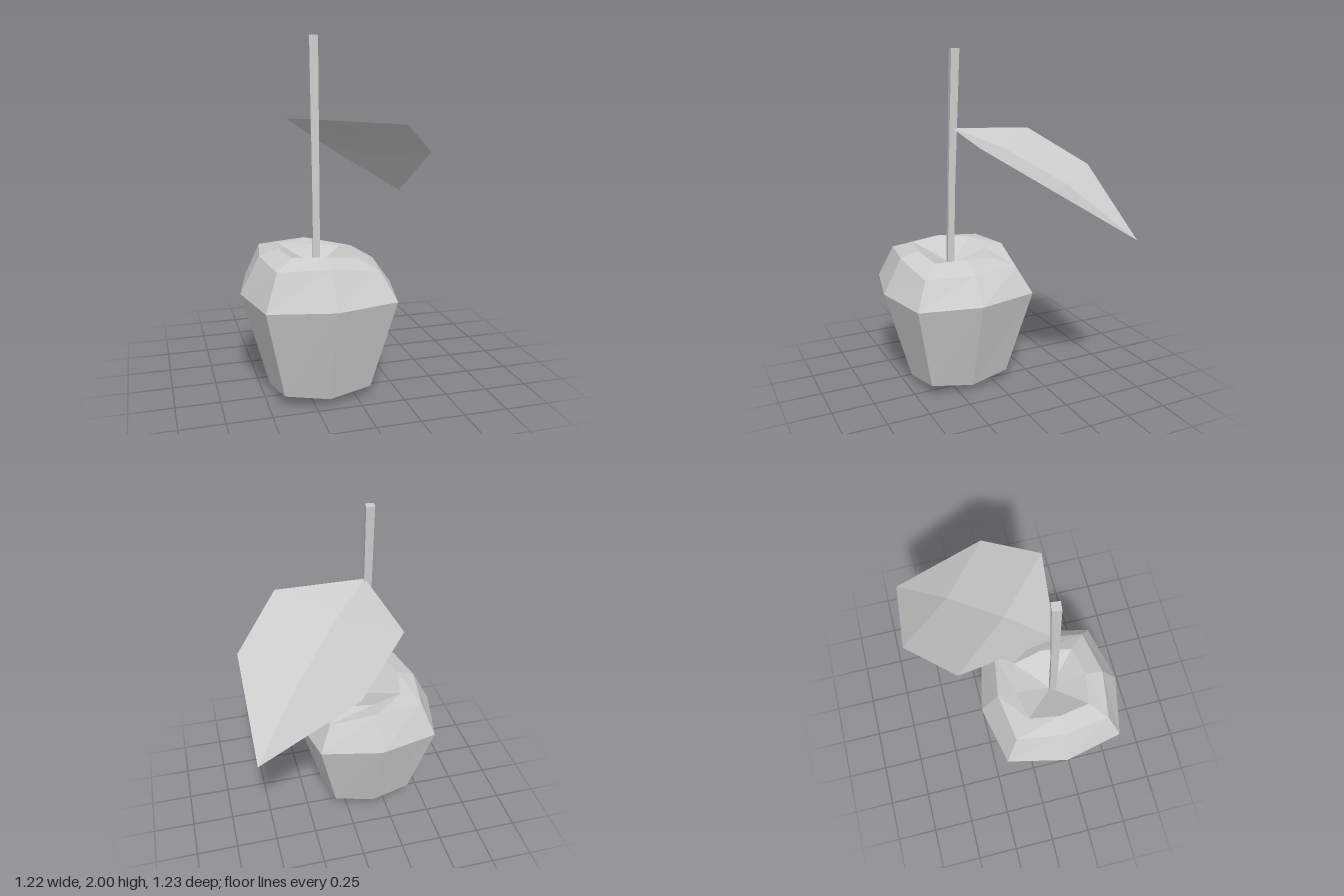
import * as THREE from 'three';

const grey = (side = THREE.FrontSide) =>
  new THREE.MeshStandardMaterial({ color: 0xcccccc, flatShading: true, side });

// Faceted mesh from a flat list of triangle corners
function facets(name, corners, side) {
  const geometry = new THREE.BufferGeometry().setFromPoints(corners);
  geometry.computeVertexNormals();
  const mesh = new THREE.Mesh(geometry, grey(side));
  mesh.name = name;
  return mesh;
}

// Skin rings listed from bottom to top, each closed to an end point
function skin(rings, start, end) {
  const out = [];
  const n = rings[0].length;
  for (let k = 0; k < n; k++) {
    const j = (k + 1) % n;
    out.push(start, rings[0][j], rings[0][k]);
    for (let i = 0; i + 1 < rings.length; i++) {
      const a = rings[i], b = rings[i + 1];
      out.push(a[k], a[j], b[j], a[k], b[j], b[k]);
    }
    const last = rings[rings.length - 1];
    out.push(last[k], last[j], end);
  }
  return out;
}

// Rounded-square ring: flat-side reach, corner offset, eight heights from the front towards +x
function fruitRing(side, corner, heights) {
  return heights.map((y, k) => {
    const a = k * Math.PI / 4;
    const r = k % 2 ? corner * Math.SQRT2 : side;
    return new THREE.Vector3(r * Math.sin(a), y, r * Math.cos(a));
  });
}

function createFruit() {
  const low = [0.04, 0.07, 0.04, 0.07, 0.04, 0.07, 0.04, 0.07];
  const rings = [
    fruitRing(0.285, 0.245, low),
    fruitRing(0.44, 0.36, Array(8).fill(0.595)),
    fruitRing(0.33, 0.285, [0.8, 0.75, 0.75, 0.75, 0.81, 0.8, 0.807, 0.79]),
    fruitRing(0.22, 0.185, [0.835, 0.805, 0.812, 0.785, 0.797, 0.82, 0.845, 0.835]),
  ];
  // The last point is the bottom of the hollow around the stem
  const fruit = facets('fruit', skin(rings, new THREE.Vector3(0, 0, 0), new THREE.Vector3(0, 0.72, 0)));
  fruit.position.set(-0.172, 0, 0.172);
  return fruit;
}

// Square stem that leans back slightly and thickens upwards
function createStem() {
  const sections = [[0.7, 0.185, 0.019], [1.2, 0.173, 0.02], [2, 0.141, 0.024]];
  const rings = sections.map(([y, z, h]) =>
    [[-1, 1], [1, 1], [1, -1], [-1, -1]].map(([sx, sz]) =>
      new THREE.Vector3(-0.178 + sx * h - sz * 0.003, y, z + sz * h + sx * 0.003)));
  return facets('stem', skin(rings, new THREE.Vector3(-0.178, 0.7, 0.185),
    new THREE.Vector3(-0.178, 2, 0.141)));
}

// Leaf folded along its midrib
function createLeaf() {
  const v = (x, y, z) => new THREE.Vector3(x, y, z);
  const rib = [v(-0.165, 1.55, 0.165), v(0.055, 1.455, -0.055), v(0.325, 1.265, -0.325), v(0.607, 0.982, -0.607)];
  const edges = [
    [v(0.345, 1.515, 0.226), v(0.61, 1.315, -0.06)],
    [v(-0.228, 1.515, -0.364), v(0.07, 1.315, -0.62)],
  ];
  const out = [];
  edges.forEach(([e1, e2], s) => {
    const tris = [[rib[0], e1, rib[1]], [rib[1], e1, e2], [rib[1], e2, rib[2]], [rib[2], e2, rib[3]]];
    tris.forEach(([a, b, c]) => out.push(...(s ? [a, c, b] : [a, b, c])));
  });
  return facets('leaf', out, THREE.DoubleSide);
}

export function createModel() {
  const model = new THREE.Group();
  model.name = 'fruitWithLeaf';
  model.add(createFruit(), createStem(), createLeaf());
  return model;
}
